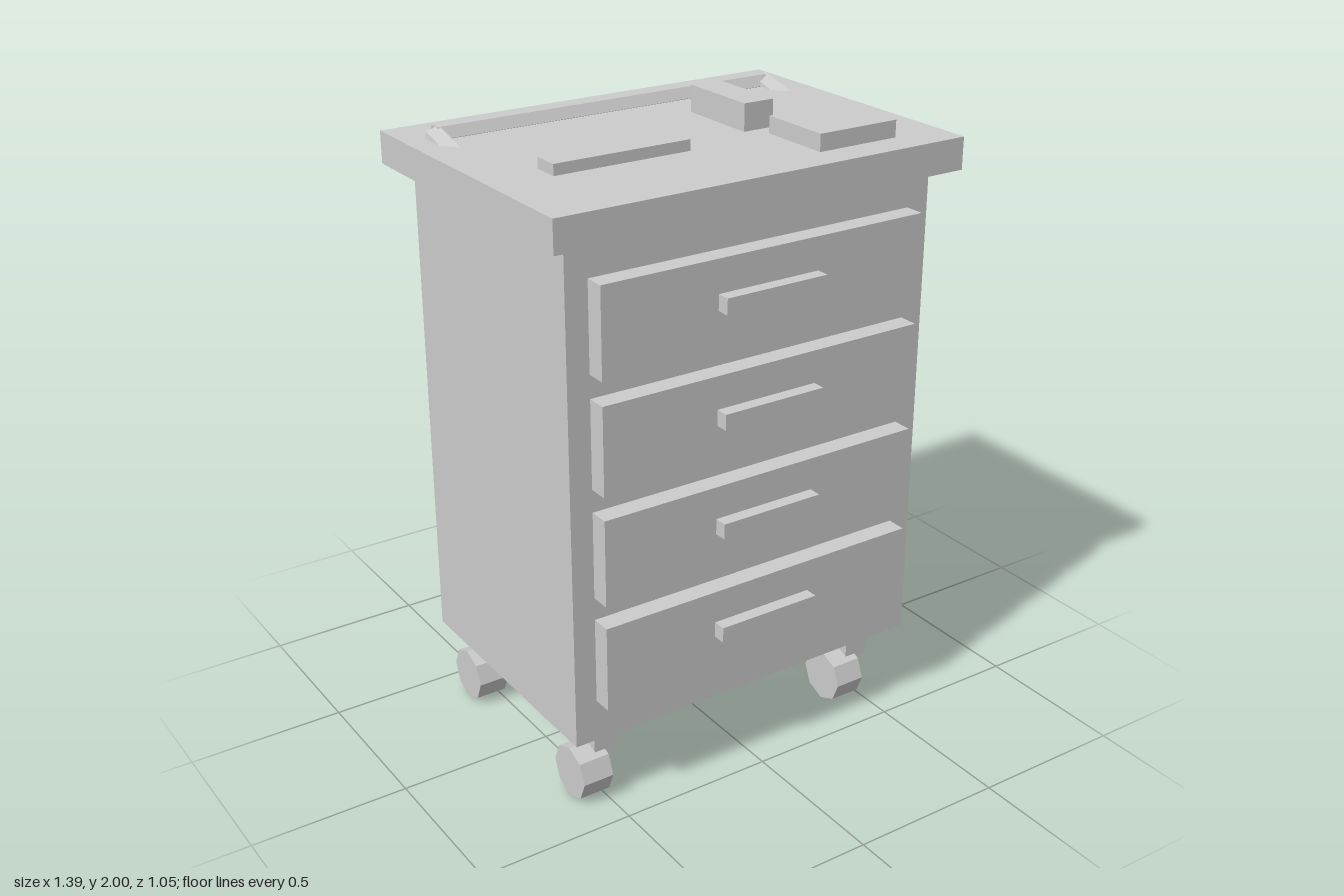
import * as THREE from 'three';
import { ConvexGeometry } from 'three/addons/geometries/ConvexGeometry.js';

export function createModel() {
  const model = new THREE.Group();
  const mat = new THREE.MeshStandardMaterial({ color: 0xcccccc, flatShading: true });

  const add = (name, geometry) => {
    const mesh = new THREE.Mesh(geometry, mat);
    mesh.name = name;
    model.add(mesh);
    return mesh;
  };
  // Box given by its extents on each axis
  const box = (name, [x0, x1], [y0, y1], [z0, z1]) =>
    add(name, new THREE.BoxGeometry(x1 - x0, y1 - y0, z1 - z0))
      .position.set((x0 + x1) / 2, (y0 + y1) / 2, (z0 + z1) / 2);
  // Faceted cylinder lying along x
  const rod = (name, radius, length, sides, x, y, z) => {
    const mesh = add(name, new THREE.CylinderGeometry(radius, radius, length, sides).rotateZ(Math.PI / 2));
    mesh.position.set(x, y, z);
  };

  // Cabinet and worktop
  const topY = 1.915;
  box('cabinetBody', [-0.627, 0.625], [0.25, 1.815], [-0.452, 0.416]);
  box('worktop', [-0.695, 0.693], [1.815, topY], [-0.525, 0.484]);

  // Four drawers with bar pulls
  for (let i = 0; i < 4; i++) {
    const y = 0.525 + i * 0.348;
    box('drawer', [-0.555, 0.55], [y - 0.138, y + 0.138], [0.416, 0.48]);
    box('drawerPull', [-0.175, 0.171], [y - 0.015, y + 0.035], [0.48, 0.522]);
  }

  // Casters: square stem with an octagonal wheel offset to one side
  for (const x of [-0.489, 0.485]) {
    for (const z of [0.313, -0.348]) {
      box('casterStem', [x - 0.04, x + 0.04], [0.145, 0.25], [z - 0.042, z + 0.042]);
      rod('casterWheel', 0.087, 0.102, 8, x - 0.054, 0.088, z);
    }
  }

  // Items lying on the worktop
  box('flatStrip', [-0.505, -0.056], [topY, 1.949], [0.078, 0.164]);
  box('tallBlock', [0.19, 0.294], [topY, 2], [-0.193, 0.085]);
  box('squareBlock', [0.242, 0.52], [topY, 1.968], [0.138, 0.38]);

  // Hexagonal rail half sunk into the worktop, with a pointed bracket at each end
  rod('rail', 0.038, 1.182, 6, -0.002, 1.916, -0.368);
  const bracketPoints = [
    [-0.034, 0, -0.366], [-0.03, 0.022, -0.366], [-0.032, 0, -0.277],
    [0.01, 0, -0.228], [0.03, 0, -0.335], [0.008, 0.036, -0.362], [0.01, 0, -0.39],
  ].map((p) => new THREE.Vector3(...p));
  for (const x of [-0.592, 0.59]) {
    add('railBracket', new ConvexGeometry(bracketPoints)).position.set(x, topY, 0);
  }

  return model;
}
